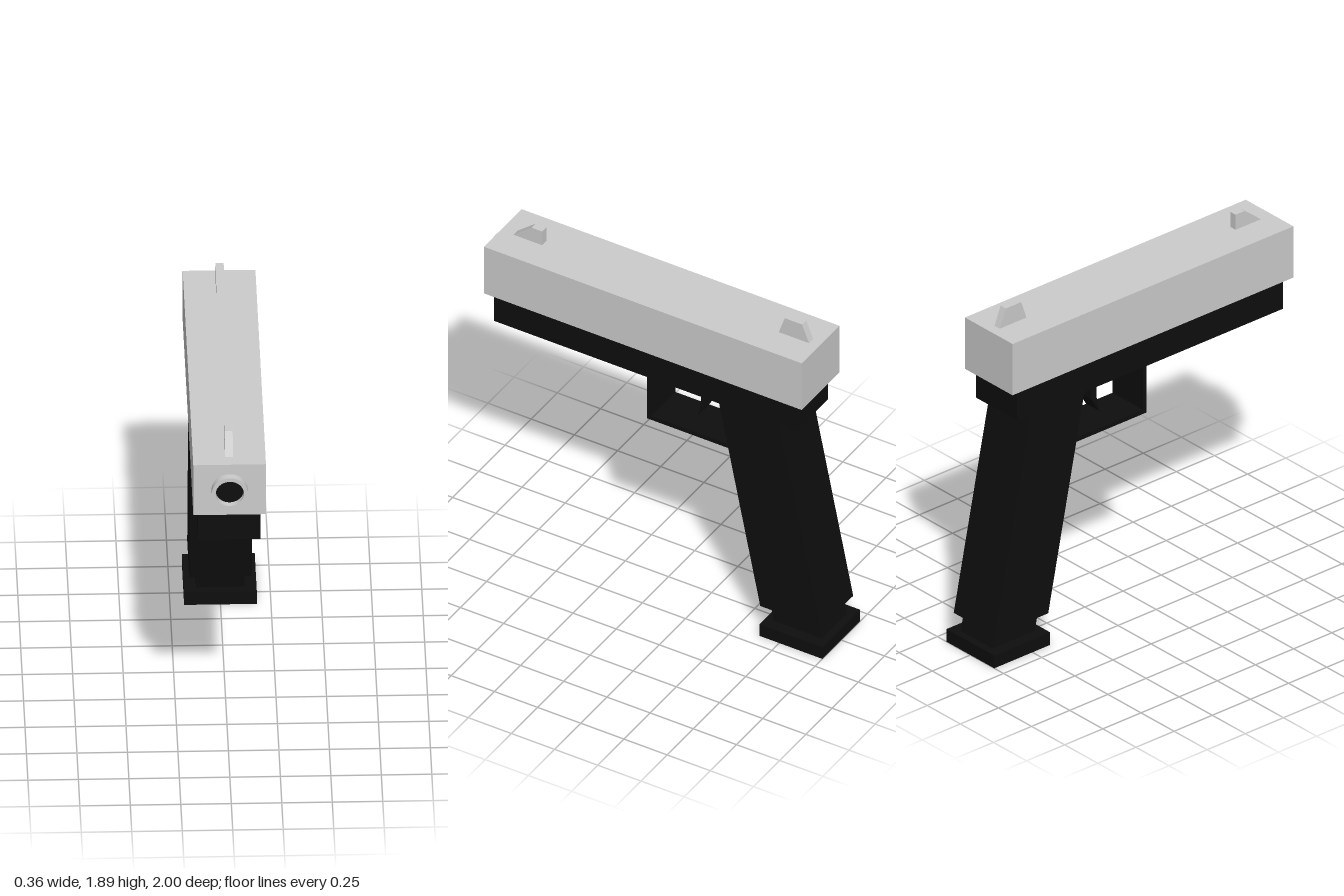
import * as THREE from 'three';

const grey = new THREE.MeshStandardMaterial({ color: 0xcccccc });
const black = new THREE.MeshStandardMaterial({ color: 0x0e0e0e });

export function createModel() {
  const model = new THREE.Group();

  const add = (name, geometry, material) => {
    const mesh = new THREE.Mesh(geometry, material);
    mesh.name = name;
    model.add(mesh);
    return mesh;
  };

  // Side outline of [z, y] points, extruded symmetrically across x
  const profile = (name, points, width, material) => {
    const shape = new THREE.Shape(points.map(([z, y]) => new THREE.Vector2(z, y)));
    const geometry = new THREE.ExtrudeGeometry(shape, { depth: width, bevelEnabled: false });
    geometry.translate(0, 0, -width / 2).rotateY(-Math.PI / 2);
    return add(name, geometry, material);
  };

  // Box from its z and y limits, centred on x
  const block = (name, width, [z0, z1], [y0, y1], material) => {
    const geometry = new THREE.BoxGeometry(width, y1 - y0, z1 - z0);
    geometry.translate(0, (y0 + y1) / 2, (z0 + z1) / 2);
    return add(name, geometry, material);
  };

  // Upper body and lower frame
  block('slide', 0.36, [-0.88, 0.96], [1.5, 1.79], grey);
  block('frame', 0.31, [-0.83, 0.915], [1.33, 1.5], black);

  // Sights
  profile('frontSight', [[0.885, 1.79], [0.78, 1.875], [0.72, 1.875], [0.72, 1.79]], 0.04, grey);
  profile('rearSight', [[-0.65, 1.79], [-0.685, 1.89], [-0.785, 1.89], [-0.825, 1.79]], 0.04, grey);

  // Muzzle ring with a dark bore
  const ring = new THREE.Shape().absarc(0, 0, 0.09, 0, Math.PI * 2);
  ring.holes.push(new THREE.Path().absarc(0, 0, 0.07, 0, Math.PI * 2, true));
  const muzzle = add('muzzle', new THREE.ExtrudeGeometry(ring, {
    depth: 0.04, bevelEnabled: false, curveSegments: 32,
  }), grey);
  muzzle.position.set(0, 1.645, 0.96);
  const bore = add('bore', new THREE.CircleGeometry(0.071, 32), black);
  bore.position.set(0, 1.645, 0.965);

  // Slanted grip, magazine and floor plate
  profile('grip', [[-0.385, 1.34], [-0.735, 1.34], [-0.975, 0.165], [-0.625, 0.165]], 0.31, black);
  profile('magazine', [[-0.66, 0.18], [-0.937, 0.18], [-0.962, 0.06], [-0.685, 0.06]], 0.24, black);
  block('floorPlate', 0.36, [-1, -0.635], [0, 0.072], black);

  // Bent guard strip
  profile('triggerGuard', [
    [0.055, 1.335], [0.055, 1.038], [-0.46, 1.038], [-0.46, 1.062], [0.03, 1.062], [0.03, 1.335],
  ], 0.23, black);

  // Curved trigger
  profile('trigger', [
    [-0.2, 1.335], [-0.216, 1.27], [-0.218, 1.2], [-0.198, 1.11],
    [-0.25, 1.195], [-0.25, 1.275], [-0.233, 1.335],
  ], 0.1, black);

  return model;
}
